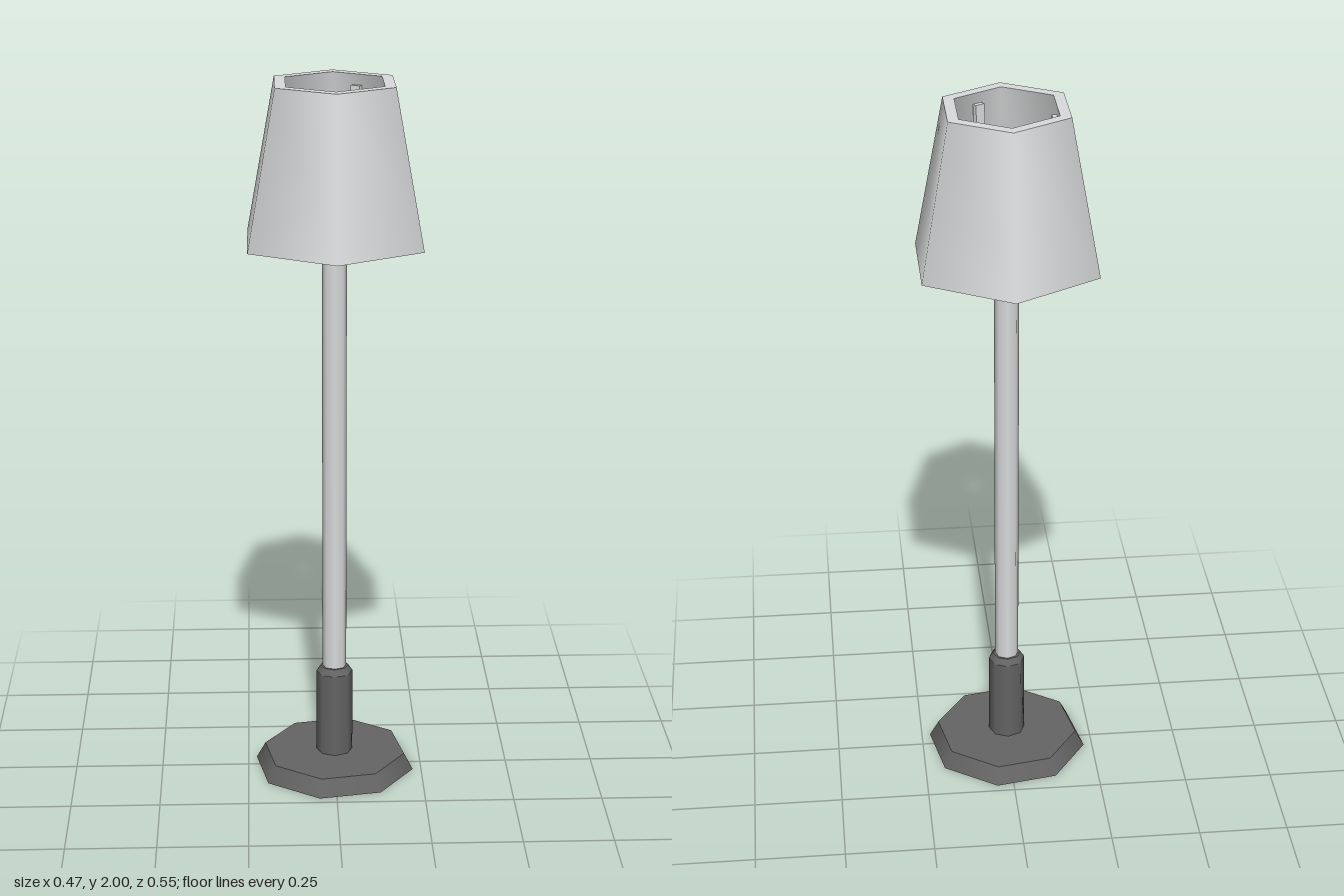
import * as THREE from 'three';
import { mergeGeometries } from 'three/addons/utils/BufferGeometryUtils.js';

// Turns a [radius, y] profile into bands: smooth around, sharp between bands
function turned(profile, sides, start = 0) {
  const bands = [];
  for (let i = 0; i < profile.length - 1; i++) {
    const pair = [profile[i], profile[i + 1]].map(([r, y]) => new THREE.Vector2(r, y));
    bands.push(new THREE.LatheGeometry(pair, sides, start));
  }
  return mergeGeometries(bands);
}

// Flat strip bent along a curve that runs outwards, then up to the shade
function bentArm() {
  const path = new THREE.CatmullRomCurve3([
    [0.02, 1.655], [0.08, 1.657], [0.11, 1.71], [0.121, 1.84], [0.126, 1.97],
  ].map(([r, y]) => new THREE.Vector3(r, y, 0)));
  const geo = new THREE.BoxGeometry(1, 0.014, 1, 14, 1, 1);
  const pos = geo.attributes.position;
  for (let i = 0; i < pos.count; i++) {
    const t = THREE.MathUtils.clamp(pos.getX(i) + 0.5, 0, 1);
    const h = pos.getY(i);
    const p = path.getPoint(t);
    const d = path.getTangent(t);
    const width = THREE.MathUtils.lerp(0.036, 0.027, t);
    pos.setXYZ(i, p.x - d.y * h, p.y + d.x * h, pos.getZ(i) * width);
  }
  geo.computeVertexNormals();
  return geo;
}

export function createModel() {
  const lightGrey = new THREE.MeshStandardMaterial({ color: 0xd9dadb });
  lightGrey.name = 'lightGrey';
  const darkGrey = new THREE.MeshStandardMaterial({ color: 0x646464 });
  darkGrey.name = 'darkGrey';

  const model = new THREE.Group();
  model.name = 'floorLamp';
  const add = (name, geometry, material) => {
    const mesh = new THREE.Mesh(geometry, material);
    mesh.name = name;
    model.add(mesh);
    return mesh;
  };

  // Foot plate with a bevelled edge, and the collar that holds the pole
  add('base', turned([[0, 0], [0.231, 0], [0.205, 0.048], [0, 0.048]], 8, -0.21), darkGrey);
  add('collar', turned([[0.052, 0.045], [0.052, 0.295], [0.04, 0.313], [0, 0.313]], 8), darkGrey);

  // Pole with a ball near its top
  add('pole', turned([[0.034, 0.3], [0.034, 1.672], [0, 1.672]], 8), lightGrey);
  const ball = add('ball', new THREE.SphereGeometry(0.055, 8, 8), lightGrey);
  ball.position.y = 1.61;

  // Three arms carry the shade
  const armGeometry = bentArm();
  for (let i = 0; i < 3; i++) {
    const arm = add('shadeArm', armGeometry, lightGrey);
    arm.rotation.y = Math.PI + i * Math.PI * 2 / 3;
  }

  // Hollow six-sided shade, open at both ends
  add('shade', turned([
    [0.273, 1.565], [0.185, 2], [0.151, 2], [0.239, 1.565], [0.273, 1.565],
  ], 6), lightGrey);

  return model;
}
